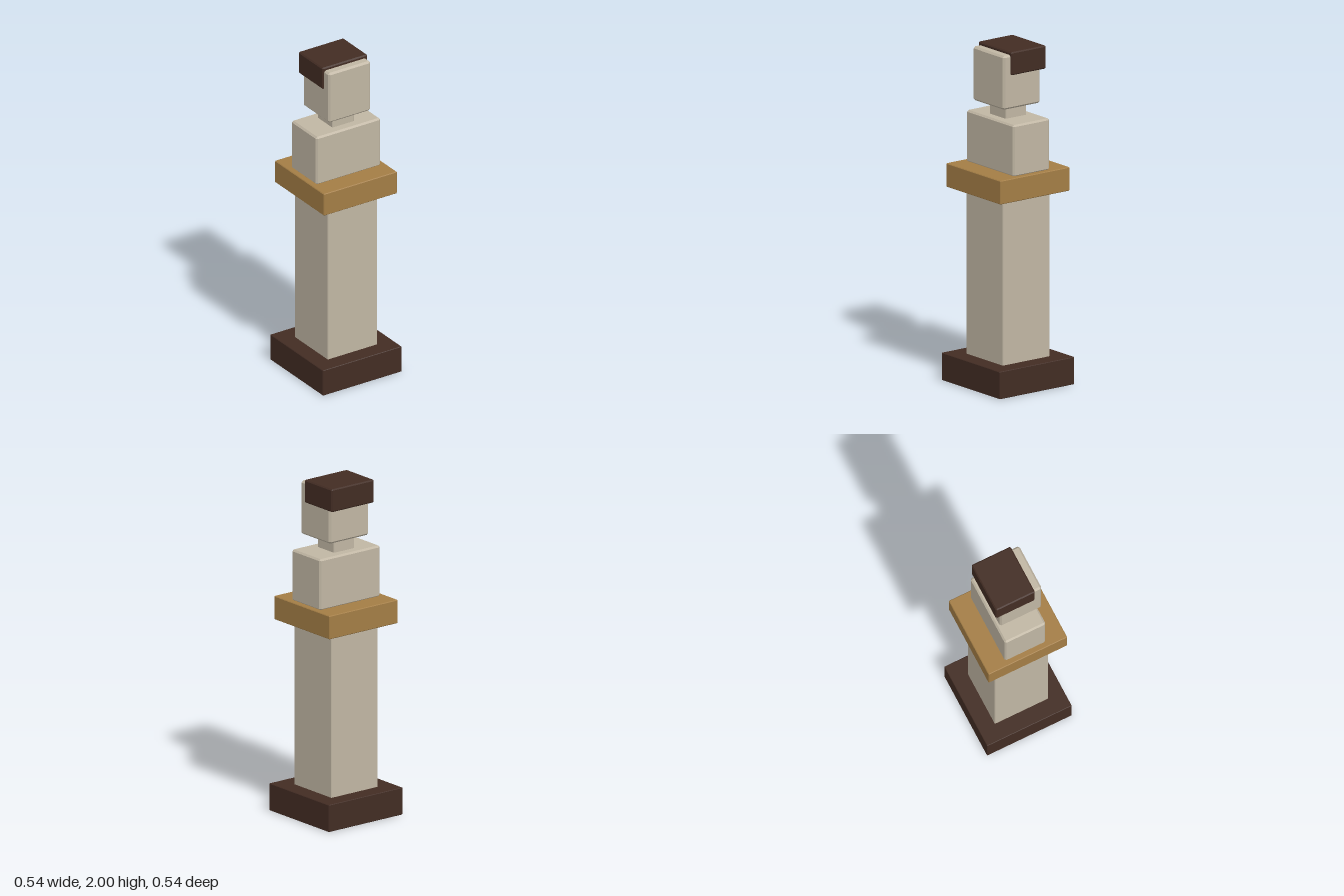
import * as THREE from 'three';
import { ConvexGeometry } from 'three/addons/geometries/ConvexGeometry.js';

const paint = (name, color) => {
  const material = new THREE.MeshStandardMaterial({ color });
  material.name = name;
  return material;
};

// Box with flat chamfers of width c on every edge
function chamferBox(w, h, d, c) {
  const points = [];
  for (const sx of [-1, 1]) for (const sy of [-1, 1]) for (const sz of [-1, 1]) {
    const x = w / 2, y = h / 2, z = d / 2;
    points.push(
      new THREE.Vector3(sx * x, sy * (y - c), sz * (z - c)),
      new THREE.Vector3(sx * (x - c), sy * y, sz * (z - c)),
      new THREE.Vector3(sx * (x - c), sy * (y - c), sz * z),
    );
  }
  return new ConvexGeometry(points);
}

export function createModel() {
  const model = new THREE.Group();
  model.name = 'bustOnPedestal';

  const stone = paint('paleStone', 0xc0b6a3);
  const gold = paint('ochre', 0xa37d45);
  const dark = paint('darkBrown', 0x422c23);

  // Adds a chamfered block spanning y0..y1 and z0..z1, centred on x
  const block = (name, material, width, y0, y1, z0, z1, chamfer) => {
    const mesh = new THREE.Mesh(chamferBox(width, y1 - y0, z1 - z0, chamfer), material);
    mesh.position.set(0, (y0 + y1) / 2, (z0 + z1) / 2);
    mesh.name = name;
    model.add(mesh);
  };

  // Pedestal
  block('base', dark, 0.542, 0, 0.162, -0.271, 0.271, 0.003);
  block('column', stone, 0.342, 0.155, 1.15, -0.171, 0.171, 0.003);
  block('capital', gold, 0.504, 1.145, 1.285, -0.252, 0.252, 0.004);

  // Bust
  block('shoulders', stone, 0.442, 1.28, 1.587, -0.131, 0.131, 0.01);
  block('neck', stone, 0.15, 1.57, 1.68, -0.075, 0.075, 0.004);
  block('head', stone, 0.29, 1.663, 1.982, -0.124, 0.144, 0.011);
  block('hair', dark, 0.312, 1.863, 2, -0.156, 0.095, 0.007);

  return model;
}
